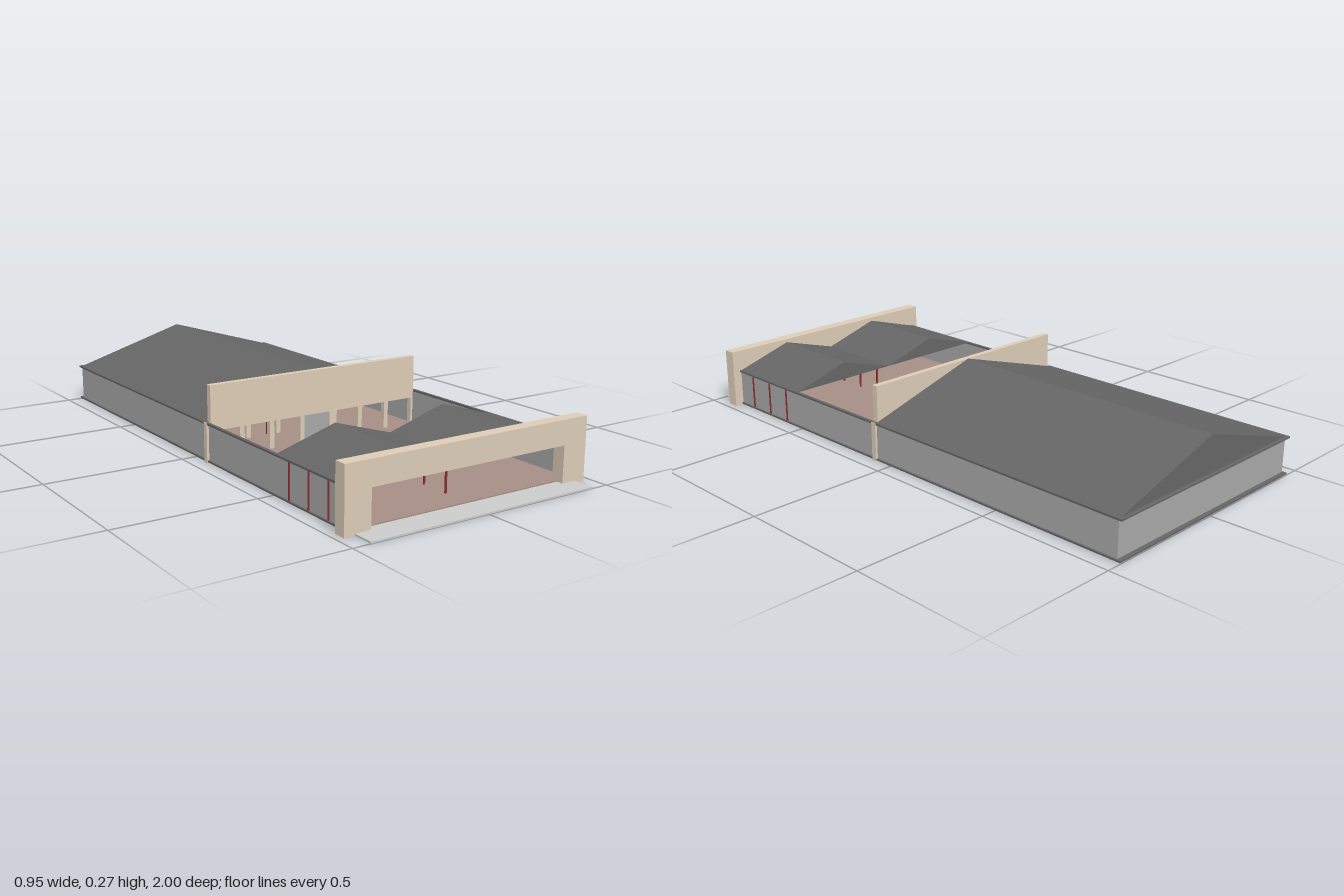
import * as THREE from 'three';

const mat = (color) => new THREE.MeshStandardMaterial({ color, flatShading: true });

export function createModel() {
  const group = new THREE.Group();
  const beige = mat(0xdccbb6), brown = mat(0xa58e84), dark = mat(0x666666);
  const wall = mat(0xa8a8a8), grey = mat(0xcccccc), red = mat(0x8a2a2a);

  // box given by its min and max on each axis
  function box(name, material, [x0, x1], [y0, y1], [z0, z1]) {
    const mesh = new THREE.Mesh(new THREE.BoxGeometry(x1 - x0, y1 - y0, z1 - z0), material);
    mesh.position.set((x0 + x1) / 2, (y0 + y1) / 2, (z0 + z1) / 2);
    mesh.name = name;
    group.add(mesh);
    return mesh;
  }

  // closed gable prism running along z
  function gableRoof(name, [x0, x1], eave, ridge, [z0, z1]) {
    const s = new THREE.Shape();
    s.moveTo(x0, eave);
    s.lineTo(x1, eave);
    s.lineTo((x0 + x1) / 2, ridge);
    s.closePath();
    const mesh = new THREE.Mesh(new THREE.ExtrudeGeometry(s, { depth: z1 - z0, bevelEnabled: false }), dark);
    mesh.position.z = z0;
    mesh.name = name;
    group.add(mesh);
  }

  function post(x, z) {
    const mesh = new THREE.Mesh(new THREE.CylinderGeometry(0.004, 0.004, 0.13, 10), red);
    mesh.position.set(x, 0.07, z);
    mesh.name = 'post';
    group.add(mesh);
  }

  // ground
  box('floor', brown, [-0.44, 0.44], [0, 0.01], [-0.985, 0.9]);
  box('entranceApron', grey, [-0.437, 0.437], [0, 0.006], [0.9, 1]);

  // side and back walls with base and eave rails
  for (const s of [-1, 1]) {
    const span = (a, b) => (s > 0 ? [a, b] : [-b, -a]);
    box('sideWall', wall, span(0.437, 0.441), [0.008, 0.137], [-0.985, 0.88]);
    box('baseRail', dark, span(0.438, 0.447), [0.003, 0.009], [-0.99, 0.88]);
    box('eaveRail', dark, span(0.436, 0.447), [0.133, 0.14], [-0.99, 0.88]);
    box('sidePilaster', beige, span(0.428, 0.449), [0, 0.14], [0.068, 0.088]);
    box('facadePillar', beige, span(0.38, 0.475), [0, 0.218], [0.88, 0.925]);
  }
  box('backWall', wall, [-0.44, 0.44], [0.008, 0.137], [-0.985, -0.98]);
  box('backBaseRail', dark, [-0.447, 0.447], [0.003, 0.009], [-1, -0.985]);
  box('backEaveRail', dark, [-0.447, 0.447], [0.134, 0.14], [-1, -0.985]);

  // front portal beam
  box('facadeBeam', beige, [-0.38, 0.38], [0.133, 0.218], [0.88, 0.925]);

  // roofs
  gableRoof('mainRoof', [-0.44, 0.44], 0.139, 0.27, [-0.988, 0.075]);
  for (const s of [-1, 1])
    gableRoof('porchRoof', s > 0 ? [0, 0.44] : [-0.44, 0], 0.139, 0.205, [0.515, 0.88]);

  // porch posts
  for (const x of [-0.441, 0, 0.441])
    for (const z of [0.8, 0.695, 0.59]) post(x, z);

  // inner facade: parapet, lintel and two rows of columns
  box('parapet', beige, [-0.435, 0.435], [0.133, 0.27], [0.07, 0.092]);
  box('lintel', beige, [-0.43, 0.43], [0.11, 0.135], [0.07, 0.09]);
  box('vestibuleCeiling', beige, [-0.436, 0.436], [0.132, 0.138], [-0.09, 0.07]);
  for (const z of [0.08, -0.08])
    for (const x of [-0.31, -0.19, -0.063, 0.063, 0.19, 0.31])
      box('column', beige, [x - 0.009, x + 0.009], [0.008, 0.133], [z - 0.009, z + 0.009]);
  box('rearLintel', beige, [-0.43, 0.43], [0.11, 0.133], [-0.089, -0.071]);
  box('loweredLintel', beige, [0.072, 0.181], [0.09, 0.11], [-0.088, -0.072]);
  box('centralDoor', wall, [-0.054, 0.054], [0.008, 0.11], [0.074, 0.08]);

  // inner door standing in a thin frame
  box('doorJamb', red, [-0.109, -0.106], [0.01, 0.11], [-0.084, -0.076]);
  box('doorPanel', wall, [-0.106, -0.073], [0.012, 0.108], [-0.082, -0.078]);
  box('doorKickPanel', wall, [-0.09, -0.074], [0.015, 0.055], [-0.078, -0.074]);

  return group;
}
